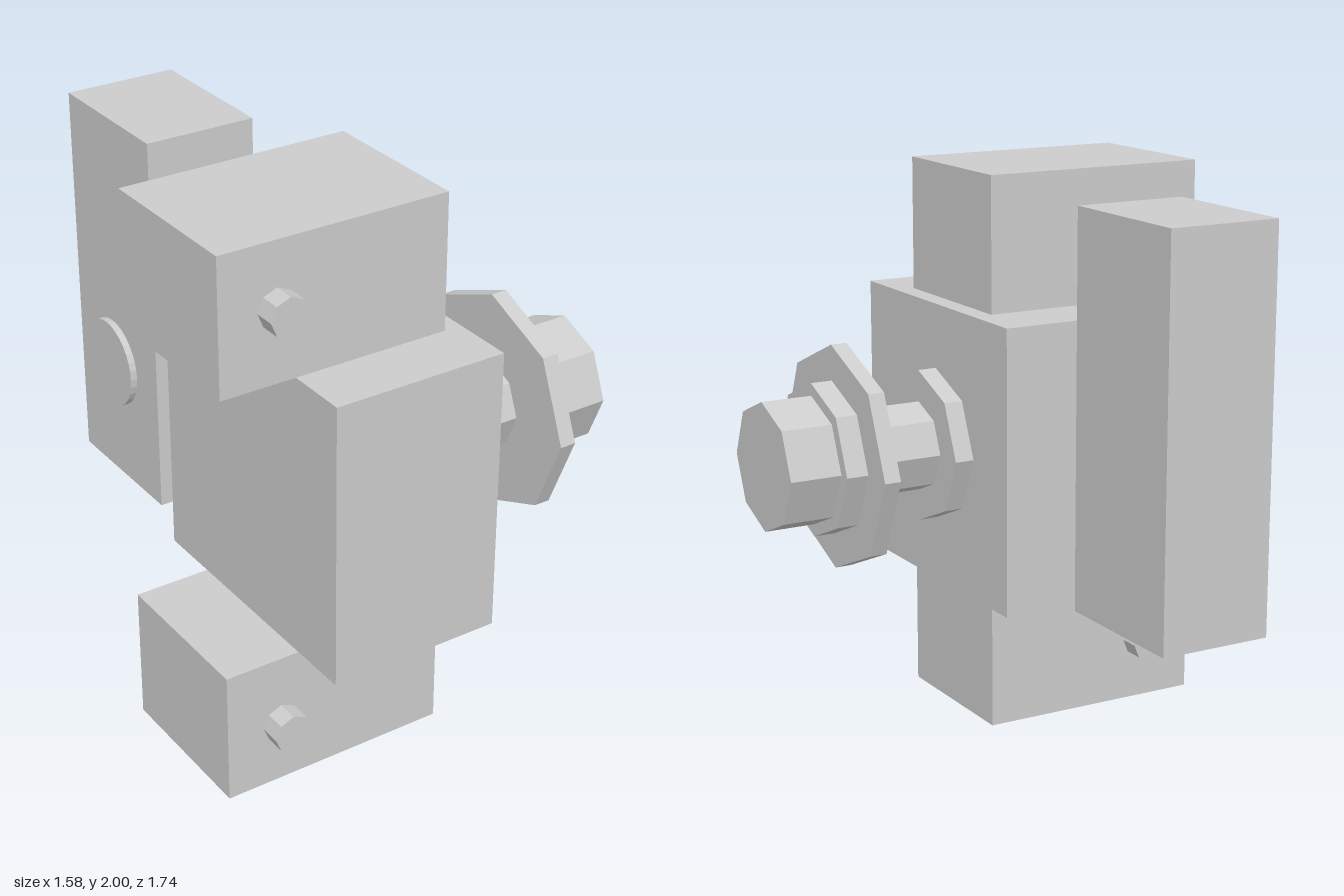
import * as THREE from 'three';

const grey = new THREE.MeshStandardMaterial({ color: 0xcccccc, flatShading: true });

function add(group, name, geometry, x, y, z) {
  const mesh = new THREE.Mesh(geometry, grey);
  mesh.name = name;
  mesh.position.set(x, y, z);
  group.add(mesh);
}

// Box given by its lower and upper bounds on each axis
function box(group, name, [x0, x1], [y0, y1], [z0, z1]) {
  add(group, name, new THREE.BoxGeometry(x1 - x0, y1 - y0, z1 - z0),
    (x0 + x1) / 2, (y0 + y1) / 2, (z0 + z1) / 2);
}

// Cylinder lying along x, from x0 to x1
function barrel(group, name, x0, x1, radius, y, z, sides = 8) {
  const geometry = new THREE.CylinderGeometry(radius, radius, x1 - x0, sides).rotateZ(-Math.PI / 2);
  add(group, name, geometry, (x0 + x1) / 2, y, z);
}

export function createModel() {
  const model = new THREE.Group();
  model.name = 'mechanism';

  // Central housing with a clamp block above and below
  box(model, 'housing', [-0.52, 0.11], [0.49, 1.515], [-0.157, 0.872]);
  box(model, 'upperBlock', [-0.795, 0.043], [1.517, 2], [0.067, 0.65]);
  box(model, 'lowerBlock', [-0.795, 0.043], [0, 0.488], [0.067, 0.65]);

  // Cross pins through both clamp blocks
  for (const [name, y] of [['upperPin', 1.773], ['lowerPin', 0.23]]) {
    const pin = new THREE.CylinderGeometry(0.07, 0.07, 0.736, 8).rotateX(Math.PI / 2);
    add(model, name, pin, -0.587, y, 0.358);
  }

  // Stepped octagonal shaft on the side of the housing
  const shaft = new THREE.Group();
  shaft.name = 'shaft';
  model.add(shaft);
  const steps = [
    ['collar', 0.11, 0.18, 0.278],
    ['neck', 0.18, 0.46, 0.163],
    ['flange', 0.46, 0.52, 0.406],
    ['washer', 0.52, 0.6, 0.278],
    ['endCap', 0.6, 0.788, 0.233],
  ];
  for (const [name, x0, x1, radius] of steps) barrel(shaft, name, x0, x1, radius, 1.003, 0.357);

  // Separate upright block behind, with a round button on its side
  box(model, 'rearBlock', [-0.475, -0.065], [0.535, 1.938], [-0.872, -0.322]);
  barrel(model, 'button', -0.5, -0.47, 0.163, 0.99, -0.628, 32);

  return model;
}
